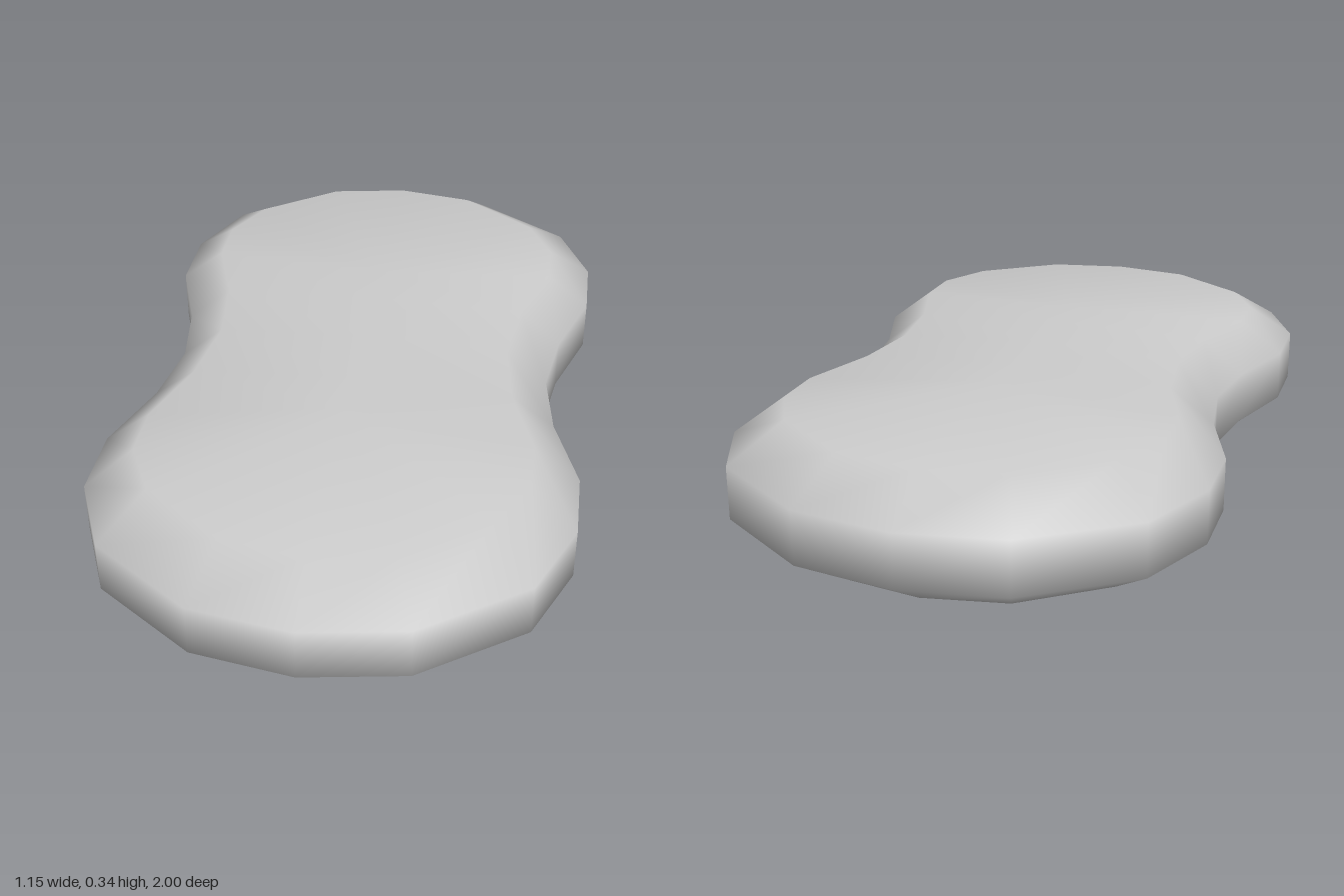
import * as THREE from 'three';
import { mergeVertices } from 'three/addons/utils/BufferGeometryUtils.js';

// Quarter outlines [x, z], from the front tip round to the waist
const OUTER = [[0, 1], [0.245, 0.96], [0.49, 0.79], [0.577, 0.59], [0.577, 0.4], [0.507, 0.19], [0.48, 0]];
const INSET = [[0, 0.86], [0.2, 0.825], [0.395, 0.68], [0.465, 0.54], [0.465, 0.4], [0.4, 0.2], [0.375, 0]];
// The slight crown is a ridge along the middle
const RIDGE = OUTER.map(([, z]) => [0, Math.min(z, 0.33)]);

// Mirrors a quarter outline into a closed loop, anticlockwise seen from above
function fullLoop(quarter) {
  const back = quarter.slice(0, -1).reverse().map(([x, z]) => [x, -z]);
  const half = [...quarter, ...back];
  const other = half.slice(1, -1).reverse().map(([x, z]) => [-x, z]);
  return [...half, ...other];
}

// Joins the stacked loops with quads, leaving out zero-area triangles
function loft(rings) {
  const positions = [];
  const tri = (...points) => {
    const [a, b, c] = points.map((p) => new THREE.Vector3(...p));
    if (b.sub(a).cross(c.sub(a)).length() > 1e-7) positions.push(...points.flat());
  };
  for (let r = 0; r < rings.length - 1; r++) {
    const low = rings[r], high = rings[r + 1];
    for (let i = 0; i < low.length; i++) {
      const j = (i + 1) % low.length;
      tri(low[i], low[j], high[j]);
      tri(low[i], high[j], high[i]);
    }
  }
  const geometry = new THREE.BufferGeometry();
  geometry.setAttribute('position', new THREE.Float32BufferAttribute(positions, 3));
  const merged = mergeVertices(geometry, 1e-4);
  merged.computeVertexNormals();
  return merged;
}

export function createModel() {
  const group = new THREE.Group();
  group.name = 'waistedPad';

  // Cross-sections from the underside to the top
  const sections = [
    [RIDGE, 0], [INSET, 0.02], [OUTER, 0.108],
    [OUTER, 0.238], [INSET, 0.323], [RIDGE, 0.34],
  ];
  const rings = sections.map(([quarter, y]) => fullLoop(quarter).map(([x, z]) => [x, y, z]));

  const pad = new THREE.Mesh(loft(rings), new THREE.MeshStandardMaterial({ color: 0xcccccc }));
  pad.name = 'padBody';
  group.add(pad);
  return group;
}
